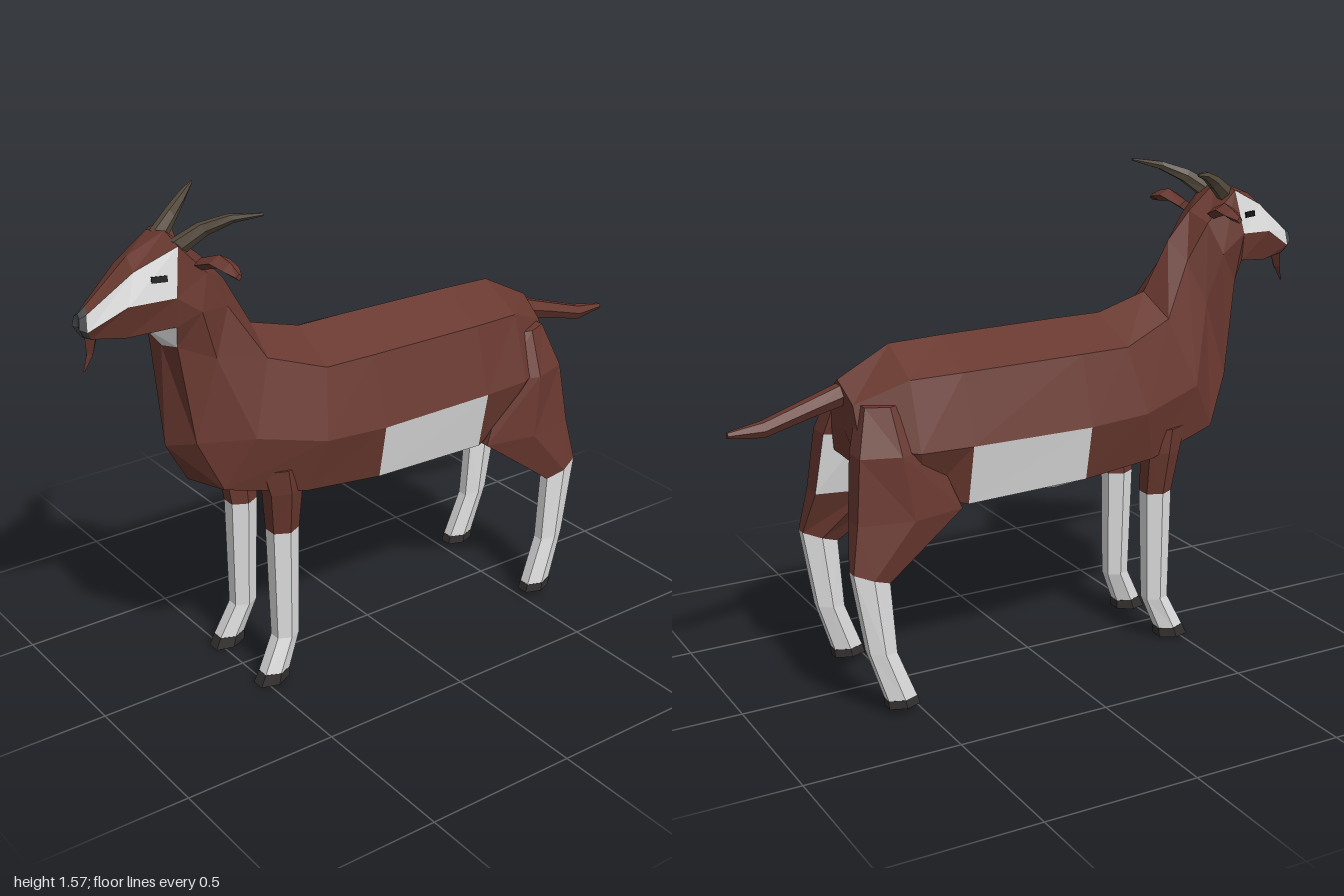
import * as THREE from 'three';

const mat = (name, color) => {
  const m = new THREE.MeshStandardMaterial({ color });
  m.name = name;
  return m;
};
const MATS = [
  mat('brown coat', 0x68382f),
  mat('white coat', 0xdddddd),
  mat('horn', 0x544a3c),
  mat('hoof', 0x332f2f),
  mat('nose grey', 0x45484a),
  mat('eye black', 0x141212),
];
const BROWN = 0, WHITE = 1, HORN = 2, HOOF = 3, NOSE = 4, EYE = 5;

// Skin a list of rings with faceted faces; pick(i, j) chooses the colour of each panel.
function loft(name, rings, pick) {
  const buckets = MATS.map(() => []);
  const n = rings[0].length;
  const tri = (c, ...pts) => buckets[c].push(pts);
  for (let i = 0; i < rings.length - 1; i++) {
    for (let j = 0; j < n; j++) {
      const k = (j + 1) % n;
      const a = rings[i][j], b = rings[i][k], c = rings[i + 1][k], d = rings[i + 1][j];
      tri(pick(i, j), a, b, c);
      tri(pick(i, j), a, c, d);
    }
  }
  // End caps
  [0, rings.length - 1].forEach((r, end) => {
    const ring = rings[r];
    const mid = ring.reduce((s, p) => s.add(p), new THREE.Vector3()).divideScalar(n);
    const color = pick(end ? r - 1 : 0, 0);
    ring.forEach((p, j) => {
      const q = ring[(j + 1) % n];
      if (end) tri(color, p, q, mid);
      else tri(color, q, p, mid);
    });
  });
  // Turn every face outward
  let volume = 0;
  const cross = new THREE.Vector3();
  buckets.flat().forEach(([a, b, c]) => { volume += a.dot(cross.crossVectors(b, c)); });
  const points = [], used = [];
  const geo = new THREE.BufferGeometry();
  buckets.forEach((tris, m) => {
    if (!tris.length) return;
    geo.addGroup(points.length, tris.length * 3, used.length);
    used.push(MATS[m]);
    tris.forEach(([a, b, c]) => points.push(...(volume < 0 ? [a, c, b] : [a, b, c])));
  });
  geo.setFromPoints(points);
  geo.computeVertexNormals();
  const mesh = new THREE.Mesh(geo, used.length > 1 ? used : used[0]);
  if (used.length === 1) geo.clearGroups();
  mesh.name = name;
  return mesh;
}

// Tapered limb: stations [x, y, z, radiusA, radiusB, tilt], rings across the given axis.
function limb(name, axis, side, stations, pick, sides = 6) {
  const rings = stations.map(([x, y, z, ra, rb, tilt = 0]) =>
    Array.from({ length: sides }, (_, j) => {
      const t = (j / sides) * Math.PI * 2;
      const a = Math.cos(t) * ra, b = Math.sin(t) * rb;
      const p = axis === 'y' ? [x + a, y - tilt * b, z + b]
        : axis === 'z' ? [x + a, y + b, z - tilt * b]
          : [x - tilt * b, y + a, z + b];
      return new THREE.Vector3(p[0] * side, p[1], p[2]);
    }));
  return loft(name, rings, typeof pick === 'function' ? pick : () => pick);
}

// Half section: top centre, upper, middle, lower, bottom centre; mirrored to a full ring.
function section(half) {
  const v = half.map((p) => new THREE.Vector3(...p));
  const mirror = v.slice(1, 4).reverse().map((p) => new THREE.Vector3(-p.x, p.y, p.z));
  return [...v, ...mirror];
}

export function createModel() {
  const goat = new THREE.Group();
  goat.name = 'goat';

  // Rump to throat, then skull and muzzle
  const torso = [
    [[0, 1.02, -0.65], [0.09, 0.96, -0.64], [0.14, 0.84, -0.64], [0.1, 0.77, -0.63], [0, 0.74, -0.6]],
    [[0, 1.11, -0.48], [0.15, 1.03, -0.48], [0.22, 0.82, -0.48], [0.16, 0.66, -0.44], [0, 0.62, -0.44]],
    [[0, 1.115, -0.31], [0.165, 1.035, -0.31], [0.23, 0.82, -0.31], [0.19, 0.625, -0.31], [0, 0.585, -0.31]],
    [[0, 1.12, 0.1], [0.17, 1.04, 0.1], [0.235, 0.82, 0.1], [0.2, 0.64, 0.1], [0, 0.55, 0.1]],
    [[0, 1.12, 0.26], [0.165, 1.04, 0.27], [0.225, 0.83, 0.31], [0.18, 0.66, 0.36], [0, 0.6, 0.36]],
    [[0, 1.17, 0.43], [0.12, 1.1, 0.45], [0.175, 0.88, 0.53], [0.13, 0.72, 0.62], [0, 0.72, 0.67]],
    [[0, 1.33, 0.52], [0.07, 1.27, 0.55], [0.1, 1.13, 0.61], [0.1, 0.88, 0.69], [0, 0.85, 0.74]],
    [[0, 1.42, 0.6], [0.08, 1.39, 0.62], [0.115, 1.29, 0.66], [0.085, 1.19, 0.73], [0, 1.17, 0.735]],
  ];
  const head = [
    [[0, 1.51, 0.705], [0.09, 1.49, 0.715], [0.115, 1.35, 0.74], [0.105, 1.26, 0.74], [0, 1.235, 0.785]],
    [[0, 1.46, 0.83], [0.055, 1.43, 0.84], [0.075, 1.34, 0.87], [0.05, 1.24, 0.87], [0, 1.235, 0.87]],
    [[0, 1.345, 0.965], [0.022, 1.325, 0.975], [0.032, 1.275, 0.98], [0.022, 1.25, 0.965], [0, 1.245, 0.965]],
    [[0, 1.325, 0.992], [0.016, 1.315, 0.995], [0.022, 1.285, 1.0], [0.014, 1.26, 0.985], [0, 1.255, 0.985]],
  ];
  goat.add(loft('bodyAndNeck', [...torso, head[0]].map(section), (i, j) => {
    const row = Math.min(j, 7 - j);
    if (row === 3 && ((i >= 1 && i <= 3) || i === 7)) return WHITE; // belly and throat
    return row === 2 && i === 2 ? WHITE : BROWN; // flank patch
  }));
  goat.add(loft('head', head.map(section), (i, j) => {
    if (i === 2) return NOSE;
    return Math.min(j, 7 - j) === 1 ? WHITE : BROWN; // white cheeks
  }));

  // Beard and tail
  goat.add(limb('beard', 'y', 1, [
    [0, 1.25, 0.955, 0.028, 0.02], [0, 1.2, 0.962, 0.018, 0.01], [0, 1.15, 0.983, 0.003, 0.003],
  ], BROWN, 4));
  goat.add(limb('tail', 'z', 1, [
    [0, 0.985, -0.6, 0.035, 0.04], [0, 0.945, -0.74, 0.03, 0.032],
    [0, 0.9, -0.89, 0.026, 0.027], [0, 0.897, -1, 0.01, 0.01],
  ], BROWN));

  for (const side of [1, -1]) {
    const label = side > 0 ? 'left' : 'right';
    const add = (part, ...args) => goat.add(limb(label + part, args[0], side, ...args.slice(1)));

    // Front leg
    add('FrontUpperLeg', 'y', [
      [0.13, 0.75, 0.43, 0.06, 0.08], [0.135, 0.67, 0.42, 0.055, 0.066], [0.12, 0.525, 0.413, 0.048, 0.054],
    ], BROWN);
    add('FrontLowerLeg', 'y', [
      [0.12, 0.525, 0.413, 0.048, 0.054], [0.125, 0.15, 0.415, 0.04, 0.046], [0.135, 0.04, 0.465, 0.04, 0.052],
    ], WHITE);
    add('FrontHoof', 'y', [
      [0.135, 0.04, 0.465, 0.041, 0.053], [0.135, 0.005, 0.475, 0.044, 0.062, 0.08],
    ], HOOF);

    // Hind leg, pale on the inside of the thigh
    add('Thigh', 'y', [
      [0.1, 0.96, -0.55, 0.06, 0.08], [0.14, 0.82, -0.54, 0.08, 0.14],
      [0.165, 0.62, -0.51, 0.072, 0.2], [0.203, 0.455, -0.65, 0.036, 0.068, 0.4],
    ], (i, j) => (i === 1 && (j === 2 || j === 3) ? WHITE : BROWN));
    add('HindLowerLeg', 'y', [
      [0.203, 0.455, -0.65, 0.036, 0.068, 0.4], [0.205, 0.21, -0.62, 0.037, 0.052, 0.15],
      [0.212, 0.05, -0.563, 0.037, 0.055],
    ], WHITE);
    add('HindHoof', 'y', [
      [0.212, 0.05, -0.563, 0.038, 0.056], [0.212, 0.022, -0.558, 0.04, 0.06],
    ], HOOF);

    // Horn sweeping back and out
    add('Horn', 'z', [
      [0.055, 1.475, 0.7, 0.024, 0.024, -0.8], [0.085, 1.522, 0.635, 0.022, 0.021, -0.5],
      [0.13, 1.553, 0.57, 0.018, 0.014, -0.3], [0.192, 1.568, 0.5, 0.005, 0.005],
    ], HORN);

    // Drooping ear
    add('Ear', 'x', [
      [0.08, 1.42, 0.64, 0.018, 0.025], [0.16, 1.447, 0.625, 0.02, 0.035],
      [0.21, 1.437, 0.62, 0.018, 0.028], [0.252, 1.426, 0.62, 0.01, 0.01],
    ], BROWN, 4);

    // Eye plate on the cheek
    const eye = new THREE.Mesh(new THREE.BoxGeometry(0.009, 0.018, 0.046), MATS[EYE]);
    eye.name = label + 'Eye';
    eye.position.set(0.088 * side, 1.406, 0.778);
    eye.rotation.set(0, -0.29 * side, 0.18 * side);
    goat.add(eye);
  }
  return goat;
}
